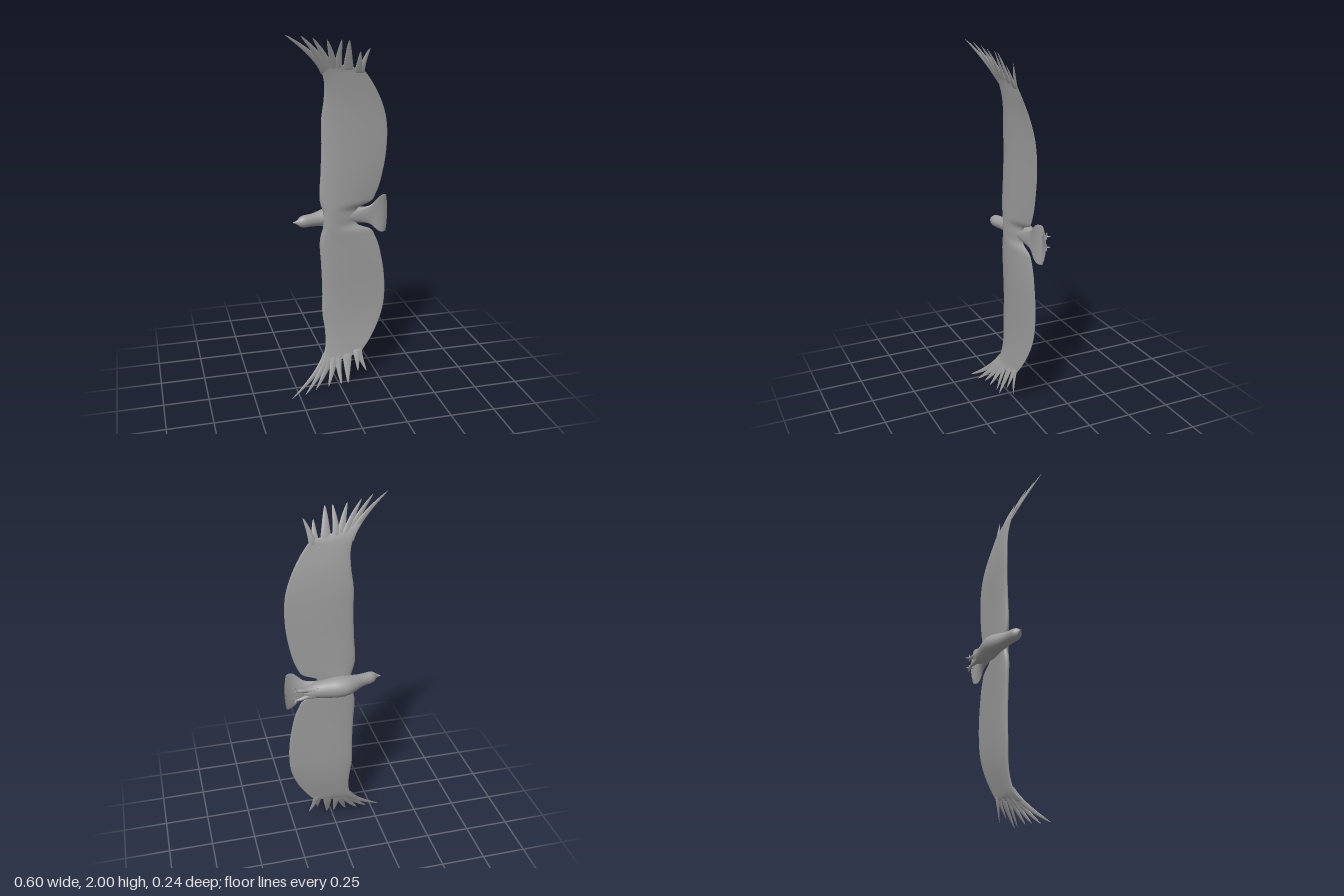
import * as THREE from 'three';

const material = new THREE.MeshStandardMaterial({ color: 0x9c9c9c, side: THREE.DoubleSide });

// Resample rows of [position, a, b, ...] smoothly into n + 1 rows
function resample(rows, n) {
  const size = rows[0].length;
  const spline = new THREE.CubicInterpolant(rows.map((r) => r[0]), rows.flat(), size, new Float32Array(size));
  const start = rows[0][0], end = rows[rows.length - 1][0];
  return Array.from({ length: n + 1 }, (_, i) => Array.from(spline.evaluate(start + ((end - start) * i) / n)));
}

// Closed skin over rings of [x, y, z] points, with capped ends, always facing outward
function loft(name, rings) {
  const m = rings[0].length, pos = rings.flat(), index = [];
  for (let i = 0; i < rings.length - 1; i++)
    for (let j = 0; j < m; j++) {
      const a = i * m + j, b = i * m + ((j + 1) % m);
      index.push(a, b, a + m, b, b + m, a + m);
    }
  const last = (rings.length - 1) * m;
  for (let j = 1; j < m - 1; j++) index.push(0, j + 1, j, last, last + j, last + j + 1);

  let volume = 0;
  const v = (k) => new THREE.Vector3(...pos[index[k]]);
  for (let k = 0; k < index.length; k += 3) volume += v(k).dot(v(k + 1).cross(v(k + 2)));
  if (volume < 0) index.reverse();

  const geometry = new THREE.BufferGeometry();
  geometry.setAttribute('position', new THREE.Float32BufferAttribute(pos.flat(), 3));
  geometry.setIndex(index);
  geometry.computeVertexNormals();
  const mesh = new THREE.Mesh(geometry, material);
  mesh.name = name;
  return mesh;
}

// Angles around a ring
const around = (n) => Array.from({ length: n }, (_, i) => (i / n) * Math.PI * 2);

// Tapered round limb along a path
function limb(name, points, r0, r1) {
  const path = new THREE.CatmullRomCurve3(points.map((p) => new THREE.Vector3(...p)));
  const n = 10, frames = path.computeFrenetFrames(n);
  const rings = Array.from({ length: n + 1 }, (_, i) => around(8).map((a) => path.getPointAt(i / n)
    .addScaledVector(frames.normals[i], Math.cos(a) * (r0 + ((r1 - r0) * i) / n))
    .addScaledVector(frames.binormals[i], Math.sin(a) * (r0 + ((r1 - r0) * i) / n)).toArray()));
  return loft(name, rings);
}

// Beak, head, neck and trunk: x, centre z, half depth, half width
function makeBody() {
  const rows = resample([
    [-0.253, -0.002, 0.003, 0.002], [-0.24, 0.001, 0.007, 0.007], [-0.228, 0.001, 0.011, 0.015],
    [-0.215, -0.004, 0.024, 0.026], [-0.195, -0.008, 0.031, 0.033], [-0.165, -0.015, 0.034, 0.034],
    [-0.13, -0.028, 0.037, 0.037], [-0.09, -0.045, 0.047, 0.045], [-0.05, -0.056, 0.058, 0.053],
    [0, -0.06, 0.06, 0.057], [0.06, -0.061, 0.053, 0.053], [0.12, -0.065, 0.043, 0.044],
    [0.165, -0.072, 0.031, 0.034], [0.188, -0.076, 0.021, 0.025], [0.198, -0.079, 0.009, 0.012],
  ], 64);
  return loft('body', rows.map(([x, z, rz, ry]) =>
    around(24).map((a) => [x, Math.cos(a) * ry, z + Math.sin(a) * rz])));
}

// Fanned tail: x, centre z, half thickness, half width; the end edge is rounded
function makeTail() {
  const rows = resample([
    [0.05, -0.03, 0.022, 0.036], [0.1, -0.038, 0.022, 0.038], [0.15, -0.043, 0.018, 0.043],
    [0.2, -0.044, 0.011, 0.056], [0.23, -0.043, 0.007, 0.082], [0.255, -0.046, 0.005, 0.102],
    [0.28, -0.055, 0.004, 0.11], [0.3, -0.068, 0.002, 0.107],
  ], 30);
  return loft('tail', rows.map(([x, z, rz, ry]) => around(24).map((a) => {
    const c = Math.cos(a), flare = (x - 0.05) / 0.25;
    return [x - c * c * 0.012 * flare, c * ry, z + Math.sin(a) * rz + c * c * 0.012 * flare];
  })));
}

// Both wing blades in one skin: span, leading x, trailing x, z, half thickness, camber, sweep of the end
function makeWings() {
  const half = resample([
    [0, -0.085, 0.115, -0.01, 0.026, 0.02, 0], [0.05, -0.085, 0.12, -0.01, 0.026, 0.02, 0],
    [0.075, -0.094, 0.185, -0.01, 0.025, 0.02, 0], [0.12, -0.103, 0.218, -0.01, 0.023, 0.02, 0],
    [0.26, -0.097, 0.26, -0.01, 0.019, 0.018, 0], [0.42, -0.091, 0.278, -0.011, 0.016, 0.014, 0],
    [0.55, -0.092, 0.268, -0.009, 0.014, 0.009, 0], [0.66, -0.079, 0.228, -0.002, 0.011, 0.003, 0],
    [0.75, -0.08, 0.175, 0.01, 0.008, 0, 0], [0.81, -0.1, 0.14, 0.022, 0.006, 0, 0.015],
    [0.87, -0.143, 0.125, 0.042, 0.002, 0, 0.06],
  ], 70);
  const ring = (side) => ([s, lead, trail, z, t, camber, sweep]) => around(28).map((a) => {
    const u = (1 - Math.cos(a)) / 2;
    const thick = t * Math.sin(a) * (1.25 - u) + 0.001 * Math.sign(Math.sin(a));
    return [lead + (trail - lead) * u, side * (s - sweep * u), z - camber * u * u - 0.36 * sweep * u + thick];
  });
  return loft('wings', [...half.slice(1).reverse().map(ring(-1)), ...half.map(ring(1))]);
}

// Separated wingtip feathers: root x, root span, bend x, tip x, tip span, tip z, half width
const feathers = [
  [-0.077, 0.8, -0.125, -0.3, 1, 0.118, 0.022], [-0.064, 0.8, -0.105, -0.22, 0.993, 0.107, 0.024],
  [-0.05, 0.8, -0.075, -0.155, 0.979, 0.089, 0.025], [-0.03, 0.8, -0.04, -0.082, 0.97, 0.088, 0.026],
  [-0.008, 0.8, -0.012, -0.003, 0.968, 0.081, 0.024], [0.047, 0.8, 0.042, 0.036, 0.965, 0.082, 0.03],
  [0.1, 0.785, 0.103, 0.1, 0.905, 0.063, 0.022], [0.115, 0.785, 0.121, 0.156, 0.92, 0.049, 0.02],
];

function makeFeather([rx, rs, bx, tx, ts, tz, w], side) {
  const path = new THREE.QuadraticBezierCurve3(
    new THREE.Vector3(rx, rs, 0.019 + (rs - 0.8) * 0.25),
    new THREE.Vector3(bx, rs + (ts - rs) * 0.45, 0.01 + tz * 0.38),
    new THREE.Vector3(tx, ts, tz));
  const n = 18;
  const rings = Array.from({ length: n + 1 }, (_, i) => {
    const t = i / n, p = path.getPoint(t), d = path.getTangent(t);
    const across = new THREE.Vector3(d.y, -d.x, 0).normalize();
    const half = w * Math.pow(1 - t, 0.65) + 0.0006, thick = 0.013 * Math.sqrt(t) * (1 - t) + 0.0005;
    return around(12).map((a) => {
      const q = p.clone().addScaledVector(across, Math.cos(a) * half);
      return [q.x, side * q.y, q.z + Math.sin(a) * thick];
    });
  });
  return loft('wingtipFeather', rings);
}

// Trailing leg with spread toes
function makeLeg(side) {
  const leg = new THREE.Group();
  leg.name = 'leg';
  leg.add(limb('shank', [[0.12, side * 0.015, -0.083], [0.175, side * 0.019, -0.087],
    [0.215, side * 0.025, -0.095], [0.244, side * 0.03, -0.096]], 0.021, 0.006));
  const toes = [[0.253, 0.03, -0.121], [0.25, 0.052, -0.1], [0.25, 0.012, -0.098], [0.243, 0.032, -0.07]];
  for (const [x, y, z] of toes)
    leg.add(limb('toe', [[0.24, side * 0.03, -0.097],
      [(0.248 + x) / 2, side * (0.03 + y) / 2, (z - 0.097) / 2], [x, side * y, z]], 0.007, 0.002));
  return leg;
}

export function createModel() {
  const bird = new THREE.Group();
  bird.name = 'bird';
  bird.position.y = 1;
  bird.add(makeBody(), makeTail(), makeWings());
  for (const side of [1, -1]) {
    const wingtip = new THREE.Group();
    wingtip.name = side > 0 ? 'upperWingtip' : 'lowerWingtip';
    wingtip.add(...feathers.map((f) => makeFeather(f, side)));
    bird.add(wingtip, makeLeg(side));
  }
  const model = new THREE.Group();
  model.name = 'soaringBird';
  model.add(bird);
  return model;
}
